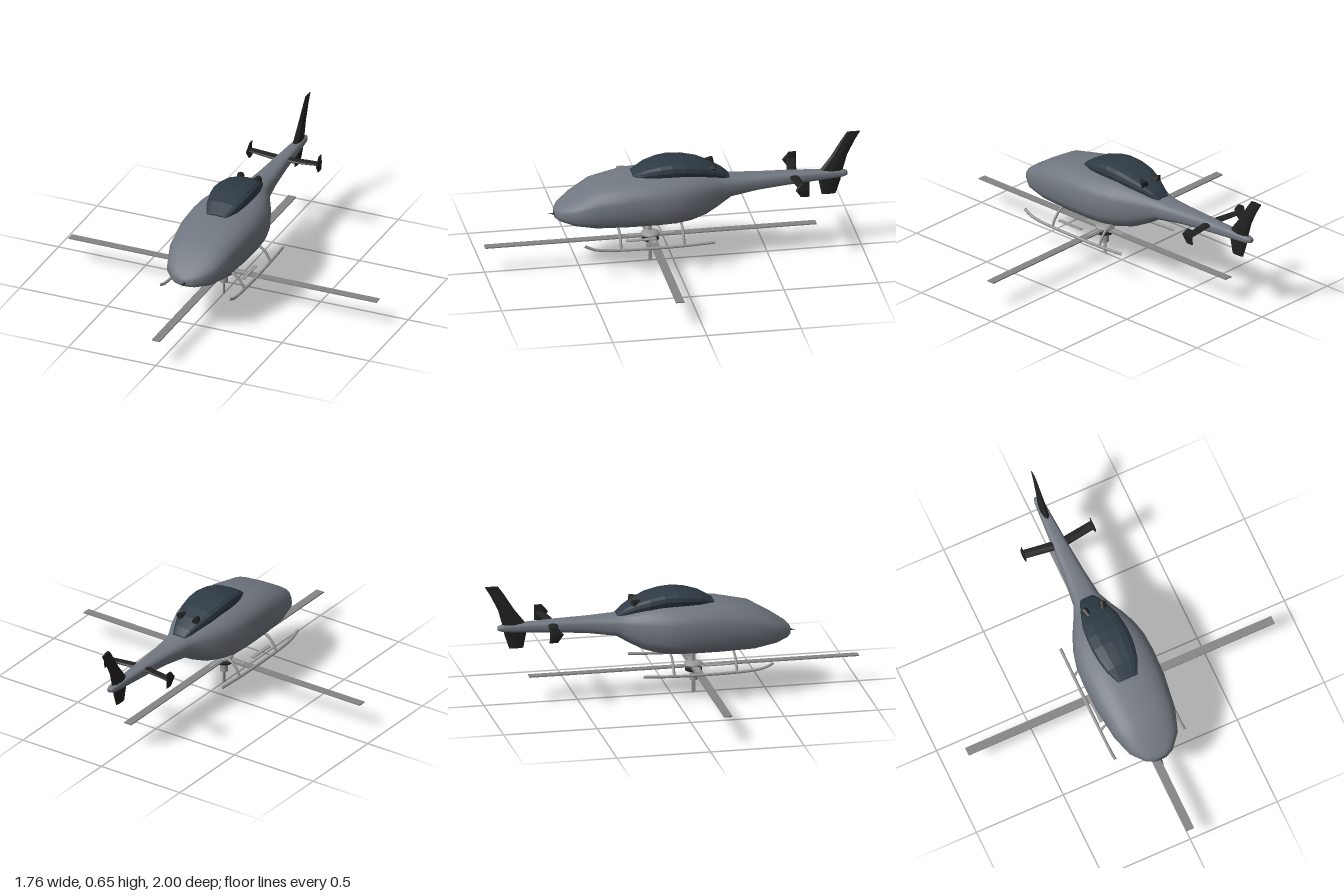
import * as THREE from 'three';

const mat = (color, flatShading = false) => new THREE.MeshStandardMaterial({ color, flatShading });
const BODY = mat(0x717780), GLASS = mat(0x2f3b45, true), DARK = mat(0x222222, true);
const METAL = mat(0x999999), BLADE = mat(0x858585);

// Skin over a row of closed rings, with a cap on both ends
function loft(rings) {
  const n = rings[0].length, pos = rings.flat(2), idx = [];
  for (let i = 0; i < rings.length - 1; i++) {
    for (let j = 0; j < n; j++) {
      const a = i * n + j, b = i * n + (j + 1) % n;
      idx.push(a, a + n, b, b, a + n, b + n);
    }
  }
  for (const end of [0, rings.length - 1]) {
    const c = pos.length / 3, ring = rings[end];
    for (let k = 0; k < 3; k++) pos.push(ring.reduce((s, p) => s + p[k], 0) / n);
    for (let j = 0; j < n; j++) {
      const a = end * n + j, b = end * n + (j + 1) % n;
      if (end === 0) idx.push(c, a, b);
      else idx.push(c, b, a);
    }
  }
  const g = new THREE.BufferGeometry();
  g.setAttribute('position', new THREE.Float32BufferAttribute(pos, 3));
  g.setIndex(idx);
  g.computeVertexNormals();
  return g;
}

const ringOf = (n, f) => Array.from({ length: n }, (_, j) => f((j / n) * Math.PI * 2));
const pw = (v, e) => Math.sign(v) * Math.abs(v) ** e;

// Hull ring: z, top, bottom, half width, squareness exponent
const hullRing = (n, e) => ([z, top, bot, w]) => ringOf(n, a => [
  w * pw(Math.cos(a), e), (top + bot) / 2 + (top - bot) / 2 * pw(Math.sin(a), e), z]);

// Upright aerofoil: y, leading z, trailing z, half thickness
const finRing = ([y, lead, trail, t, x = 0]) => ringOf(8, a => [
  x + t * Math.sin(a), y, (lead + trail) / 2 + (lead - trail) / 2 * Math.cos(a)]);

// Sideways aerofoil: x, leading z, trailing z, half thickness
const wingRing = ([x, lead, trail, t]) => ringOf(8, a => [
  x, 0.428 + t * Math.cos(a), (lead + trail) / 2 + (lead - trail) / 2 * Math.sin(a)]);

const tube = (pts, r) => new THREE.TubeGeometry(
  new THREE.CatmullRomCurve3(pts.map(p => new THREE.Vector3(...p))), 24, r, 8);

export function createModel() {
  const model = new THREE.Group();
  const add = (name, geo, material, x = 0, y = 0, z = 0, parent = model) => {
    const m = new THREE.Mesh(geo, material);
    m.name = name;
    m.position.set(x, y, z);
    parent.add(m);
    return m;
  };

  // Fuselage and tail boom
  add('fuselage', loft([
    [0.63, 0.335, 0.29, 0.04], [0.61, 0.355, 0.28, 0.08], [0.54, 0.4, 0.26, 0.14],
    [0.425, 0.468, 0.241, 0.178], [0.25, 0.505, 0.238, 0.2], [0.1, 0.512, 0.238, 0.204],
    [0, 0.512, 0.24, 0.198], [-0.08, 0.508, 0.248, 0.178], [-0.16, 0.495, 0.268, 0.145],
    [-0.23, 0.475, 0.303, 0.108], [-0.3, 0.458, 0.345, 0.075], [-0.45, 0.452, 0.368, 0.056],
    [-0.6, 0.45, 0.38, 0.043], [-0.8, 0.443, 0.392, 0.03], [-0.9, 0.437, 0.4, 0.024],
    [-0.925, 0.43, 0.407, 0.015],
  ].map(hullRing(24, 0.72))), BODY);

  // Nose probe
  const probe = add('noseProbe', new THREE.ConeGeometry(0.008, 0.06, 8), DARK, 0, 0.307, 0.64);
  probe.rotation.x = Math.PI / 2;

  // Engine cowl on the roof
  add('roofCowl', loft([
    [0.22, 0.512, 0.49, 0.055], [0.15, 0.552, 0.488, 0.088], [0.08, 0.572, 0.488, 0.104],
    [0.02, 0.58, 0.488, 0.11], [-0.05, 0.575, 0.488, 0.109], [-0.13, 0.558, 0.478, 0.1],
    [-0.2, 0.53, 0.465, 0.078], [-0.26, 0.495, 0.45, 0.055], [-0.295, 0.466, 0.44, 0.038],
  ].map(hullRing(16, 0.72))), GLASS);

  for (const s of [1, -1]) {
    const pipe = add('exhaustPipe', new THREE.CylinderGeometry(0.02, 0.014, 0.055, 8), DARK, s * 0.045, 0.525, -0.19);
    pipe.rotation.set(-Math.PI / 2, 0, s * -0.3);
  }

  // Tail surfaces
  add('tailFin', loft([
    [0.65, -0.925, -0.995, 0.005], [0.6, -0.89, -0.965, 0.008], [0.52, -0.84, -0.925, 0.014],
    [0.43, -0.77, -0.9, 0.02], [0.38, -0.775, -0.89, 0.016], [0.305, -0.79, -0.865, 0.007],
  ].map(finRing)), DARK);
  add('tailplane', loft([
    [0.195, -0.635, -0.685, 0.006], [0.04, -0.613, -0.665, 0.011],
    [-0.04, -0.613, -0.665, 0.011], [-0.195, -0.635, -0.685, 0.006],
  ].map(wingRing)), DARK);
  for (const s of [1, -1]) {
    add('endPlate', loft([
      [0.47, -0.65, -0.69, 0.003, s * 0.197], [0.428, -0.615, -0.69, 0.007, s * 0.2],
      [0.385, -0.645, -0.69, 0.003, s * 0.197],
    ].map(finRing)), DARK);
  }

  // Landing gear
  for (const s of [1, -1]) {
    const gear = new THREE.Group();
    gear.name = s > 0 ? 'leftLandingGear' : 'rightLandingGear';
    model.add(gear);
    add('skid', tube([[0.2, 0.198, 0.505], [0.2, 0.175, 0.46], [0.2, 0.164, 0.4],
      [0.2, 0.157, 0.25], [0.2, 0.157, 0], [0.2, 0.165, -0.19]].map(([x, y, z]) => [s * x, y, z]), 0.008), METAL, 0, 0, 0, gear);
    for (const z of [0.31, -0.025]) {
      add('strut', tube([[0.2, 0.16], [0.18, 0.2], [0.145, 0.235], [0.08, 0.256]]
        .map(([x, y]) => [s * x, y, z]), 0.007), METAL, 0, 0, 0, gear);
    }
    add('step', new THREE.BoxGeometry(0.022, 0.005, 0.16), METAL, s * 0.178, 0.2, 0.2, gear);
  }

  // Rotor slung under the hull
  const rotor = new THREE.Group();
  rotor.name = 'rotor';
  rotor.position.set(0, 0, 0.12);
  model.add(rotor);
  add('mast', new THREE.BoxGeometry(0.005, 0.25, 0.02), METAL, 0, 0.125, 0, rotor);
  add('hubSleeve', new THREE.CylinderGeometry(0.022, 0.022, 0.055, 16), METAL, 0, 0.097, 0, rotor);
  add('swashPlate', new THREE.CylinderGeometry(0.045, 0.045, 0.01, 20), DARK, 0, 0.126, 0, rotor);
  add('hubDome', new THREE.SphereGeometry(0.05, 20, 12), METAL, 0, 0.154, 0, rotor).scale.y = 0.38;
  for (let i = 0; i < 4; i++) {
    const arm = new THREE.Group();
    arm.name = 'bladeArm';
    arm.rotation.y = i * Math.PI / 2;
    rotor.add(arm);
    add('blade', new THREE.BoxGeometry(0.84, 0.006, 0.045), BLADE, 0.46, 0.146, 0, arm);
    add('bladeGrip', new THREE.BoxGeometry(0.11, 0.012, 0.022), METAL, 0.075, 0.145, 0, arm);
  }
  return model;
}
